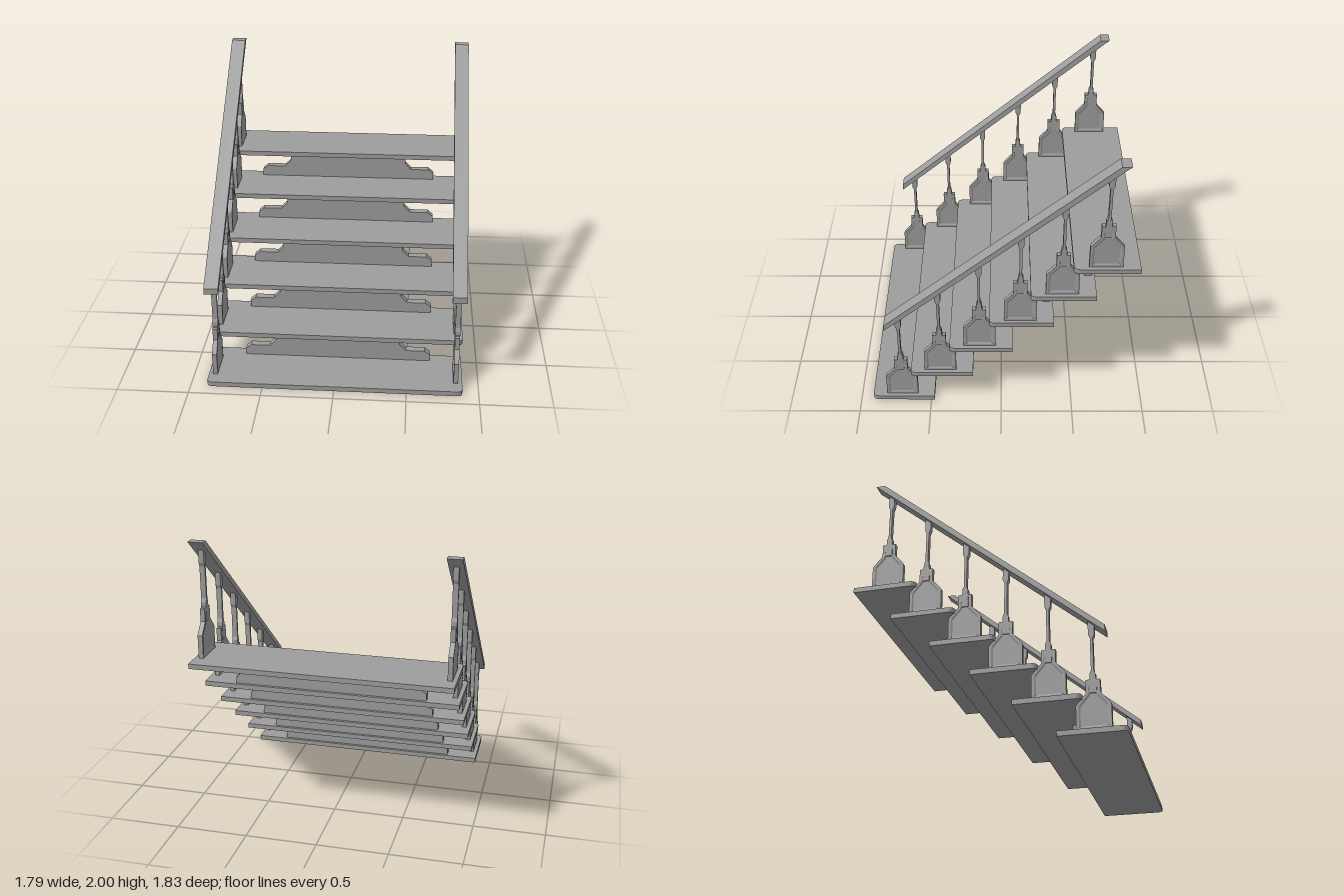
import * as THREE from 'three';

const STEPS = 6, RISE = 0.233, RUN = 0.278;
const TREAD_H = 0.035, TREAD_D = 0.438, HALF_W = 0.887;
const material = new THREE.MeshStandardMaterial({ color: 0x9d9d9d, flatShading: true });

function mesh(name, geometry, parent) {
  const m = new THREE.Mesh(geometry, material);
  m.name = name;
  parent.add(m);
  return m;
}

const shapeOf = (points) => new THREE.Shape(points.map(([a, b]) => new THREE.Vector2(a, b)));

// Symmetric outline from its right half, listed bottom to top
const mirrored = (half) => [...half, ...half.map(([a, b]) => [-a, b]).reverse()];

// Extrude centred on its own thickness
function slab(shape, depth) {
  const g = new THREE.ExtrudeGeometry(shape, { depth, bevelEnabled: false, curveSegments: 5 });
  return g.translate(0, 0, -depth / 2);
}

// Same, but with the outline drawn as (z, y) and the thickness along x
const sideSlab = (shape, depth) => slab(shape, depth).rotateY(-Math.PI / 2);

// Tread: square back, rounded front corners
function treadGeometry() {
  const w = HALF_W, d = TREAD_D / 2, r = 0.04;
  const s = new THREE.Shape();
  s.moveTo(-w, d);
  s.lineTo(-w, -d + r);
  s.quadraticCurveTo(-w, -d, -w + r, -d);
  s.lineTo(w - r, -d);
  s.quadraticCurveTo(w, -d, w, -d + r);
  s.lineTo(w, d);
  return slab(s, TREAD_H).rotateX(-Math.PI / 2);
}

// Riser: wide chamfered foot, narrower middle
const riserGeometry = () => slab(shapeOf(mirrored([
  [0.664, 0], [0.664, 0.047], [0.624, 0.079], [0.49, 0.079], [0.445, 0.126], [0.445, RISE - TREAD_H],
])), 0.053);

// Baluster base: raised border, sloping inner edge, sunken panel
const BASE = [[0.111, 0], [0.111, 0.16], [0.103, 0.172], [0.046, 0.238], [0.046, 0.328]];
const INSET = [[0.094, 0.016], [0.094, 0.157], [0.03, 0.232], [0.03, 0.275]];
const PANEL = [[0.083, 0.026], [0.083, 0.152], [0.02, 0.226], [0.02, 0.265]];
const FRAME_X = 0.0165, PANEL_X = 0.011;

function frameGeometry() {
  const s = shapeOf(mirrored(BASE));
  s.holes.push(shapeOf(mirrored(INSET)));
  return sideSlab(s, FRAME_X * 2);
}

// Sloping strip from the border down to the panel, on both faces
function slopeGeometry() {
  const outer = mirrored(INSET), inner = mirrored(PANEL), positions = [];
  for (const side of [-1, 1]) {
    outer.forEach((_, i) => {
      const j = (i + 1) % outer.length;
      const at = ([z, y], x) => [side * x, y, z];
      const a = at(outer[i], FRAME_X), b = at(outer[j], FRAME_X);
      const c = at(inner[j], PANEL_X), d = at(inner[i], PANEL_X);
      const corners = side < 0 ? [a, b, c, a, c, d] : [a, c, b, a, d, c];
      positions.push(...corners.flat());
    });
  }
  const g = new THREE.BufferGeometry();
  g.setAttribute('position', new THREE.Float32BufferAttribute(positions, 3));
  g.computeVertexNormals();
  return g;
}

// Flat-sided spindle, slim between two collars
const spindleGeometry = () => sideSlab(shapeOf(mirrored([
  [0.023, 0.238], [0.023, 0.328], [0.019, 0.334], [0.019, 0.365], [0.009, 0.39],
  [0.009, 0.612], [0.02, 0.638], [0.02, 0.733],
])), 0.037);

export function createModel() {
  const root = new THREE.Group();
  root.name = 'staircase';

  const tread = treadGeometry(), riser = riserGeometry(), spindle = spindleGeometry();
  const frame = frameGeometry(), slope = slopeGeometry();
  const panel = sideSlab(shapeOf(mirrored(PANEL)), PANEL_X * 2);

  for (let i = 0; i < STEPS; i++) {
    const step = new THREE.Group();
    step.name = `step${i + 1}`;
    step.position.set(0, i * RISE, 0.695 - i * RUN);
    root.add(step);
    mesh('tread', tread, step).position.y = TREAD_H / 2;
    if (i < STEPS - 1) mesh('riser', riser, step).position.set(0, TREAD_H, -0.173);

    for (const side of [-1, 1]) {
      const baluster = new THREE.Group();
      baluster.name = side > 0 ? 'leftBaluster' : 'rightBaluster';
      baluster.position.set(side * 0.842, TREAD_H, 0.01);
      step.add(baluster);
      mesh('balusterFrame', frame, baluster);
      mesh('balusterSlope', slope, baluster);
      mesh('balusterPanel', panel, baluster);
      mesh('spindle', spindle, baluster);
    }
  }

  // Sloping handrails, cut upright at the foot and level at the head
  const rail = sideSlab(shapeOf([
    [0.798, 0.668], [0.798, 0.713], [-0.733, 2], [-0.796, 2], [-0.774, 1.983],
  ]), 0.1);
  for (const side of [-1, 1]) {
    mesh(side > 0 ? 'leftHandrail' : 'rightHandrail', rail, root).position.x = side * 0.843;
  }
  return root;
}
